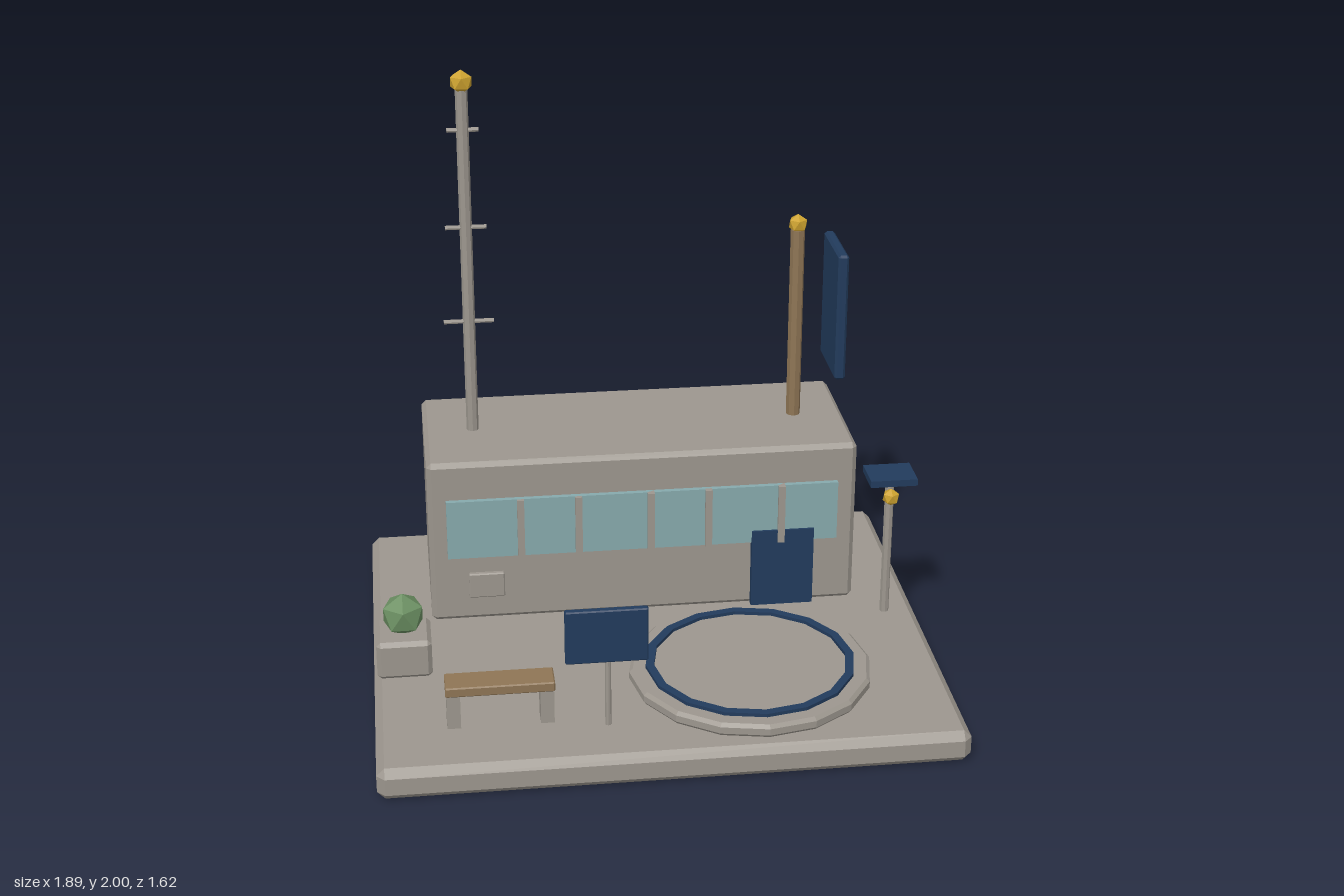
import * as THREE from 'three';
import { ConvexGeometry } from 'three/addons/geometries/ConvexGeometry.js';

const paint = (name, color) => {
  const m = new THREE.MeshStandardMaterial({ color });
  m.name = name;
  return m;
};

export function createModel() {
  const model = new THREE.Group();
  model.name = 'helipadStation';

  const concrete = paint('concrete', 0x9c968e);
  const navy = paint('navy', 0x223b5c);
  const wood = paint('wood', 0x8e7555);
  const gold = paint('gold', 0xcda22f);
  const glass = paint('glass', 0x86a9ac);
  const leaf = paint('leaf', 0x6b8f62);

  const add = (name, geometry, material, x = 0, y = 0, z = 0, parent = model) => {
    const mesh = new THREE.Mesh(geometry, material);
    mesh.name = name;
    mesh.position.set(x, y, z);
    parent.add(mesh);
    return mesh;
  };

  // Faceted normals for low-poly parts
  const faceted = (geometry) => {
    const g = geometry.index ? geometry.toNonIndexed() : geometry;
    g.computeVertexNormals();
    return g;
  };

  // Box from its min/max limits, with every edge cut by c
  const block = (name, material, [x0, x1], [y0, y1], [z0, z1], c = 0, parent = model) => {
    const h = [(x1 - x0) / 2, (y1 - y0) / 2, (z1 - z0) / 2];
    let geometry = new THREE.BoxGeometry(h[0] * 2, h[1] * 2, h[2] * 2);
    if (c > 0) {
      const points = [];
      for (const sx of [-1, 1]) for (const sy of [-1, 1]) for (const sz of [-1, 1]) {
        for (let outer = 0; outer < 3; outer++) {
          const p = [sx, sy, sz].map((s, i) => s * (h[i] - (i === outer ? 0 : c)));
          points.push(new THREE.Vector3(...p));
        }
      }
      geometry = new ConvexGeometry(points);
    }
    return add(name, geometry, material, (x0 + x1) / 2, (y0 + y1) / 2, (z0 + z1) / 2, parent);
  };

  const pole = (name, material, r, x, y0, y1, z, parent = model) =>
    add(name, faceted(new THREE.CylinderGeometry(r, r, y1 - y0, 8)), material, x, (y0 + y1) / 2, z, parent);

  // Twenty-sided ball standing on a corner
  const ball = (name, material, r, x, y, z, parent = model) => {
    const g = new THREE.IcosahedronGeometry(r, 0);
    g.rotateX(-Math.atan((1 + Math.sqrt(5)) / 2));
    return add(name, faceted(g), material, x, y, z, parent);
  };

  const group = (name) => {
    const g = new THREE.Group();
    g.name = name;
    model.add(g);
    return g;
  };

  // Ground slab and building
  block('baseSlab', concrete, [-0.947, 0.947], [0, 0.11], [-0.812, 0.808], 0.026);
  block('building', concrete, [-0.742, 0.742], [0.11, 0.71], [-0.695, -0.125], 0.016);

  // Window band with mullions, door and wall panel
  const facade = group('facade');
  block('windowBand', glass, [-0.68, 0.675], [0.36, 0.575], [-0.13, -0.107], 0, facade);
  for (const x of [-0.427, -0.228, 0.022, 0.222, 0.477]) {
    block('mullion', concrete, [x - 0.012, x + 0.012], [0.36, 0.575], [-0.125, -0.094], 0, facade);
  }
  block('door', navy, [0.375, 0.593], [0.115, 0.405], [-0.125, -0.099], 0, facade);
  block('wallPanel', concrete, [-0.61, -0.487], [0.203, 0.295], [-0.128, -0.108], 0.004, facade);

  // Aerial mast with three crossbars
  const mast = group('aerialMast');
  pole('mastPole', concrete, 0.021, -0.57, 0.7, 1.94, -0.41, mast);
  for (const [y, half] of [[1.115, 0.086], [1.455, 0.07], [1.795, 0.053]]) {
    const bar = pole('crossbar', concrete, 0.008, -0.57, y - half, y + half, -0.41, mast);
    bar.rotation.z = Math.PI / 2;
  }
  ball('mastBall', gold, 0.041, -0.57, 1.959, -0.41, mast);

  // Flagpole with banner
  const flag = group('flagpole');
  pole('flagPost', wood, 0.025, 0.566, 0.7, 1.4, -0.41, flag);
  ball('flagBall', gold, 0.035, 0.566, 1.42, -0.41, flag);
  block('banner', navy, [0.684, 0.721], [0.888, 1.345], [-0.538, -0.272], 0.008, flag);

  // Landing pad with painted ring
  const pad = group('landingPad');
  pad.position.set(0.298, 0, 0.35);
  const lathe = (pts) =>
    faceted(new THREE.LatheGeometry(pts.map(([r, y]) => new THREE.Vector2(r, y)), 16));
  add('padDisc', lathe([[0, 0.105], [0.393, 0.105], [0.405, 0.12], [0.405, 0.143], [0.393, 0.154], [0, 0.154]]),
    concrete, 0, 0, 0, pad);
  add('padRing', lathe([[0.322, 0.152], [0.35, 0.152], [0.35, 0.166], [0.322, 0.166], [0.322, 0.152]]),
    navy, 0, 0, 0, pad);

  // Lamp post with flat hood
  const lamp = group('lampPost');
  pole('lampPole', concrete, 0.016, 0.836, 0.105, 0.6, -0.021, lamp);
  ball('lampBulb', gold, 0.031, 0.836, 0.563, 0.003, lamp);
  block('lampHood', navy, [0.757, 0.919], [0.618, 0.642], [-0.095, 0.038], 0, lamp);

  // Planter and bush
  const planter = group('planter');
  block('planterBox', concrete, [-0.935, -0.752], [0.11, 0.245], [0.07, 0.252], 0.014, planter);
  ball('bush', leaf, 0.076, -0.842, 0.306, 0.16, planter);

  // Bench
  const bench = group('bench');
  block('benchSeat', wood, [-0.72, -0.37], [0.232, 0.266], [0.492, 0.592], 0.004, bench);
  for (const x of [-0.695, -0.395]) {
    block('benchLeg', concrete, [x - 0.022, x + 0.022], [0.108, 0.234], [0.508, 0.578], 0, bench);
  }

  // Notice board
  const board = group('noticeBoard');
  pole('boardPost', concrete, 0.01, -0.203, 0.105, 0.4, 0.607, board);
  block('boardPanel', navy, [-0.339, -0.074], [0.344, 0.531], [0.597, 0.622], 0.004, board);

  return model;
}
